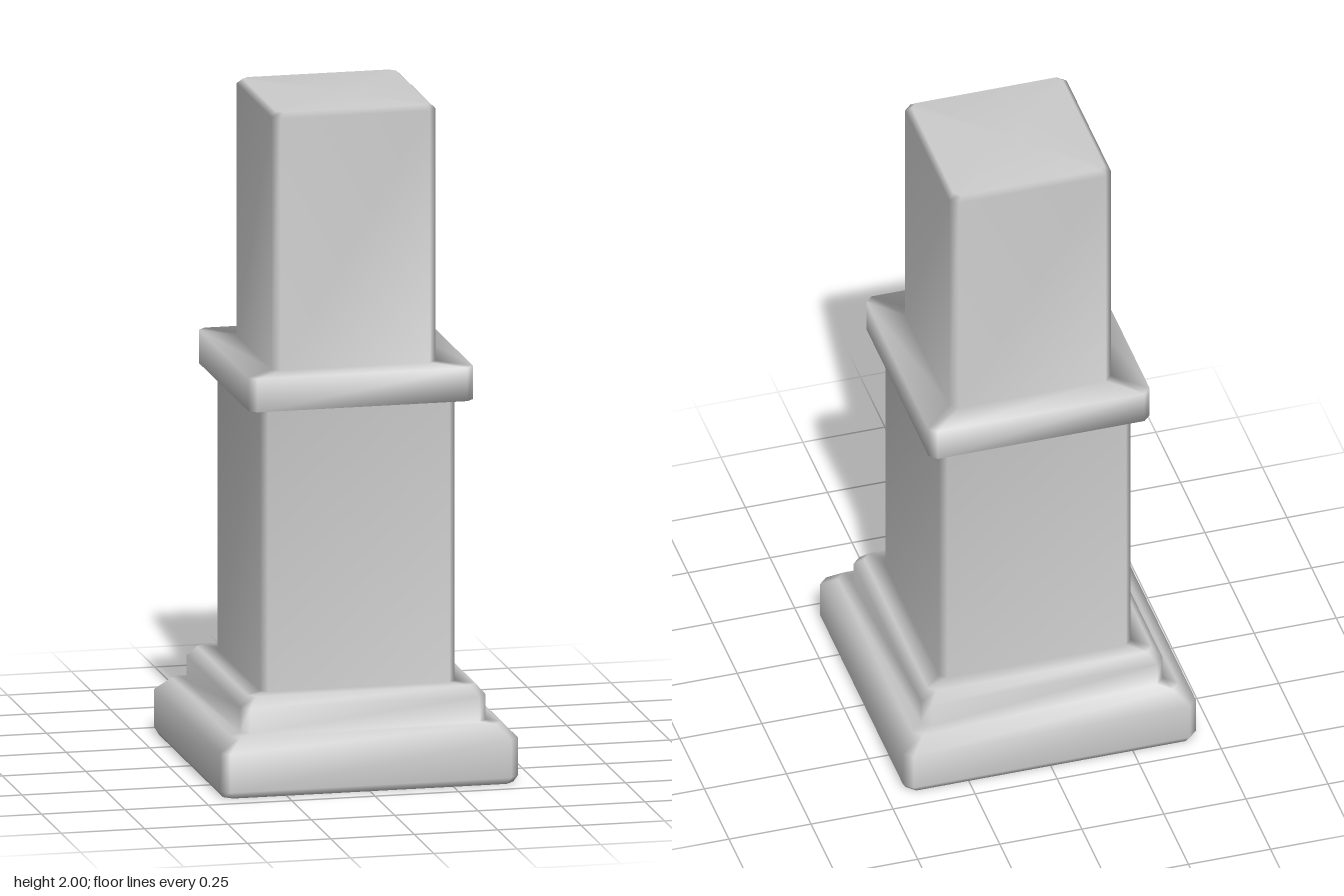
import * as THREE from 'three';

// Stacked cross-sections [y, half width, corner cut], grouped by part.
// Each part starts where the previous one ends.
const PARTS = {
  plinth: [[0, 0.435, 0.025], [0.02, 0.446, 0.025], [0.135, 0.446, 0.025], [0.175, 0.405, 0.025]],
  baseMoulding: [[0.175, 0.368, 0.025], [0.25, 0.368, 0.025], [0.28, 0.342, 0.022]],
  shaft: [[0.28, 0.292, 0.02], [1.13, 0.292, 0.02]],
  collar: [[1.13, 0.337, 0.022], [1.23, 0.337, 0.022]],
  upperPillar: [[1.23, 0.246, 0.022], [1.985, 0.246, 0.022], [2, 0.23, 0.018]],
};

// Square outline with cut corners, counter-clockwise seen from below
function ring([y, h, c]) {
  const k = h - c;
  return [[h, -k], [h, k], [k, h], [-k, h], [-h, k], [-h, -k], [-k, -h], [k, -h]]
    .flatMap(([x, z]) => [x, y, z]);
}

export function createModel() {
  const group = new THREE.Group();
  const N = 8;
  const sections = Object.values(PARTS).flat();
  const positions = sections.flatMap(ring);
  const bottom = sections.length * N;
  const top = bottom + 1;
  positions.push(0, 0, 0, 0, 2, 0);

  // Faces of each part: bands from one section up to the next
  const partIndices = {};
  let row = 0;
  for (const [name, list] of Object.entries(PARTS)) {
    const index = (partIndices[name] = []);
    for (let s = 0; s < list.length; s++, row++) {
      if (row === sections.length - 1) break;
      for (let i = 0; i < N; i++) {
        const a = row * N + i;
        const b = row * N + ((i + 1) % N);
        index.push(a, a + N, b, b, a + N, b + N);
      }
    }
  }

  // End caps
  const last = (sections.length - 1) * N;
  for (let i = 0; i < N; i++) {
    const j = (i + 1) % N;
    partIndices.plinth.push(bottom, i, j);
    partIndices.upperPillar.push(top, last + j, last + i);
  }

  // Smooth normals run across the whole column, then it is split into parts
  const whole = new THREE.BufferGeometry();
  whole.setAttribute('position', new THREE.Float32BufferAttribute(positions, 3));
  whole.setIndex(Object.values(partIndices).flat());
  whole.computeVertexNormals();

  const material = new THREE.MeshStandardMaterial({ color: 0xcccccc });
  for (const [name, index] of Object.entries(partIndices)) {
    whole.setIndex(index);
    const mesh = new THREE.Mesh(whole.toNonIndexed(), material);
    mesh.name = name;
    group.add(mesh);
  }
  group.name = 'column';
  return group;
}
